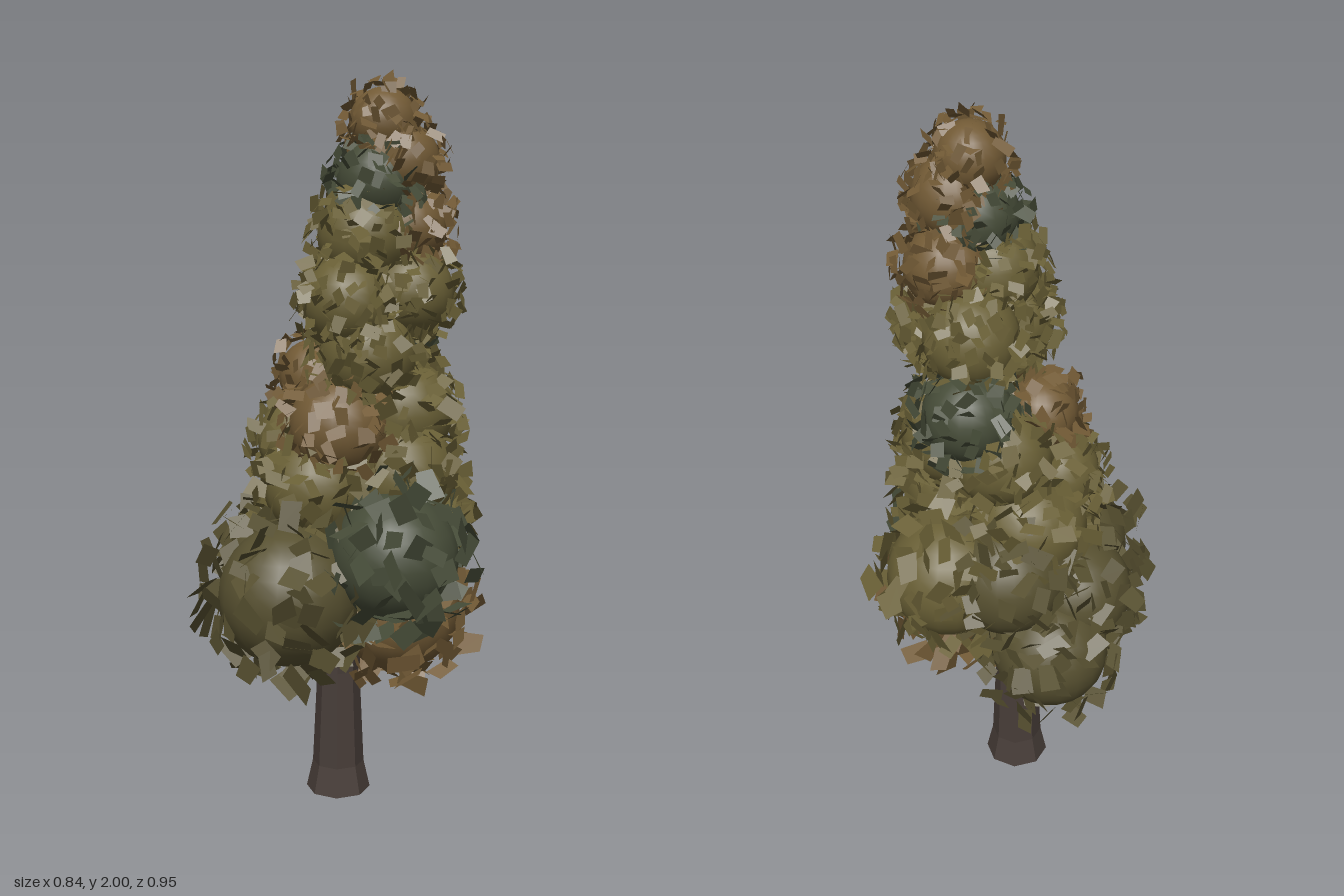
import * as THREE from 'three';

// Small seeded generator, so every build is identical
function makeRandom(seed) {
  return () => {
    seed = (seed * 1664525 + 1013904223) >>> 0;
    return seed / 4294967296;
  };
}

const COLORS = { olive: 0x6a6036, brown: 0x725a35, teal: 0x464c38, moss: 0x575030 };

// Foliage clumps: x, y, z, core radius, leaf size, colour
const CLUMPS = [
  // broad skirt
  [-0.06, 0.64, 0.20, 0.19, 0.068, 'moss'],
  [0.20, 0.75, 0.10, 0.17, 0.066, 'teal'],
  [-0.21, 0.67, -0.04, 0.16, 0.062, 'moss'],
  [-0.20, 0.55, -0.17, 0.16, 0.062, 'moss'],
  [0.14, 0.56, -0.06, 0.175, 0.064, 'brown'],
  [0.07, 0.77, -0.25, 0.17, 0.062, 'olive'],
  [-0.08, 0.78, -0.20, 0.16, 0.060, 'moss'],
  // waist
  [-0.09, 0.90, -0.10, 0.165, 0.052, 'olive'],
  [0.15, 0.94, -0.05, 0.155, 0.052, 'olive'],
  [-0.04, 0.91, 0.07, 0.145, 0.050, 'olive'],
  [-0.13, 1.02, -0.01, 0.12, 0.046, 'olive'],
  [0.02, 1.08, 0.06, 0.135, 0.046, 'brown'],
  [0.14, 1.11, -0.09, 0.14, 0.046, 'olive'],
  [-0.03, 1.12, -0.14, 0.14, 0.044, 'olive'],
  [0.03, 1.25, -0.20, 0.12, 0.044, 'teal'],
  [-0.09, 1.20, -0.02, 0.10, 0.040, 'brown'],
  // narrow upper column
  [0.08, 1.27, 0.01, 0.13, 0.040, 'olive'],
  [0.04, 1.41, 0.05, 0.12, 0.038, 'olive'],
  [0.16, 1.43, -0.08, 0.12, 0.038, 'olive'],
  [0.05, 1.44, -0.14, 0.125, 0.038, 'olive'],
  [0.06, 1.58, -0.01, 0.125, 0.038, 'olive'],
  [0.14, 1.60, -0.10, 0.11, 0.038, 'brown'],
  [0.09, 1.72, -0.03, 0.11, 0.036, 'teal'],
  [0.14, 1.77, -0.06, 0.105, 0.036, 'brown'],
  [0.10, 1.87, -0.04, 0.09, 0.036, 'brown'],
];

// Irregular four-cornered leaves scattered over a sphere, lying roughly along it
function leafGeometry(radius, size, rand) {
  const positions = [];
  const count = Math.round(5.5 * (radius / size) ** 2 * Math.PI);
  const up = new THREE.Vector3(0, 0, 1);
  const q = new THREE.Quaternion(), tilt = new THREE.Quaternion();
  const corners = [[-1, -1], [1, -1], [1, 1], [-1, 1]];
  for (let i = 0; i < count; i++) {
    const y = 1 - 2 * (i + 0.5) / count;
    const a = i * 2.39996 + rand() * 0.8;
    const s = Math.sqrt(1 - y * y);
    const dir = new THREE.Vector3(s * Math.cos(a), y, s * Math.sin(a));
    const center = dir.clone().multiplyScalar(radius + size * (0.95 * rand() - 0.05));
    q.setFromUnitVectors(up, dir);
    tilt.setFromEuler(new THREE.Euler(
      (rand() - 0.5) * 2, (rand() - 0.5) * 2, rand() * Math.PI * 2, 'ZXY'));
    q.multiply(tilt);
    const w = size * (0.38 + 0.22 * rand()), h = size * (0.45 + 0.28 * rand());
    const p = corners.map(([u, v]) => new THREE.Vector3(
      u * w * (0.55 + 0.5 * rand()), v * h * (0.7 + 0.4 * rand()), 0)
      .applyQuaternion(q).add(center));
    for (const k of [0, 1, 2, 0, 2, 3]) positions.push(p[k].x, p[k].y, p[k].z);
  }
  const geometry = new THREE.BufferGeometry();
  geometry.setAttribute('position', new THREE.Float32BufferAttribute(positions, 3));
  geometry.computeVertexNormals();
  return geometry;
}

// Eight-sided trunk with a flared foot, leaning gently as it rises
function createTrunk() {
  const profile = [
    [0, 0], [0.091, 0], [0.073, 0.08], [0.06, 0.36], [0.047, 0.75], [0.025, 1.3], [0, 1.7],
  ].map(([r, y]) => new THREE.Vector2(r, y));
  const geometry = new THREE.LatheGeometry(profile, 8, Math.PI / 8);
  const pos = geometry.attributes.position;
  for (let i = 0; i < pos.count; i++) {
    const lean = Math.max(0, pos.getY(i) - 0.35);
    pos.setX(i, pos.getX(i) - 0.035 + lean * 0.1);
    pos.setZ(i, pos.getZ(i) - 0.048);
  }
  const trunk = new THREE.Mesh(geometry,
    new THREE.MeshStandardMaterial({ color: 0x473d38, flatShading: true }));
  trunk.name = 'trunk';
  return trunk;
}

export function createModel() {
  const model = new THREE.Group();
  model.name = 'tree';
  model.add(createTrunk());

  const coreMaterials = {}, leafMaterials = {};
  for (const [name, color] of Object.entries(COLORS)) {
    coreMaterials[name] = new THREE.MeshStandardMaterial({ color });
    leafMaterials[name] = new THREE.MeshStandardMaterial({ color, side: THREE.DoubleSide });
  }

  CLUMPS.forEach(([x, y, z, radius, size, color], i) => {
    const clump = new THREE.Group();
    clump.name = `foliageClump${i + 1}`;
    clump.position.set(x, y, z);
    // smooth inner ball fills the gaps between leaves
    const core = new THREE.Mesh(new THREE.SphereGeometry(radius, 20, 14), coreMaterials[color]);
    core.name = 'foliageCore';
    const leaves = new THREE.Mesh(
      leafGeometry(radius, size, makeRandom(17 + i * 101)), leafMaterials[color]);
    leaves.name = 'leaves';
    clump.add(core, leaves);
    model.add(clump);
  });
  return model;
}
